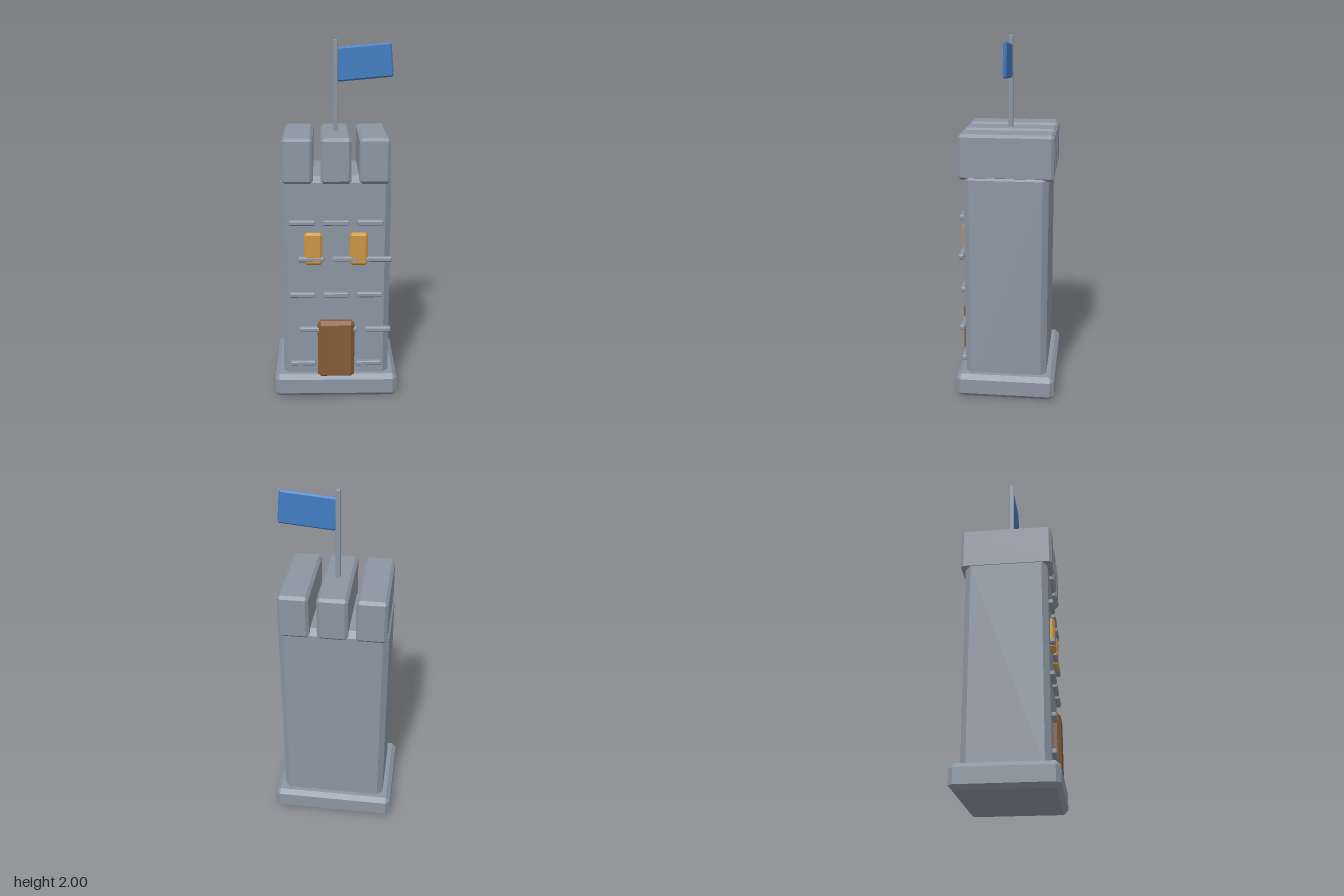
import * as THREE from 'three';
import { ConvexGeometry } from 'three/addons/geometries/ConvexGeometry.js';

const flat = (name, color) => {
  const m = new THREE.MeshStandardMaterial({ color });
  m.name = name;
  return m;
};

// Box with every edge cut flat by c
function chamferBox(w, h, d, c) {
  const x = w / 2, y = h / 2, z = d / 2, points = [];
  for (const i of [-1, 1]) for (const j of [-1, 1]) for (const k of [-1, 1]) {
    points.push(
      new THREE.Vector3(i * x, j * (y - c), k * (z - c)),
      new THREE.Vector3(i * (x - c), j * y, k * (z - c)),
      new THREE.Vector3(i * (x - c), j * (y - c), k * z)
    );
  }
  return new ConvexGeometry(points);
}

export function createModel() {
  const model = new THREE.Group();
  model.name = 'tower';
  const stone = flat('stone', 0x8c96a3);
  const wood = flat('wood', 0x845c38);
  const glow = flat('windowGlow', 0xcc9642);
  const cloth = flat('flagCloth', 0x427dc2);

  // Adds a chamfered block spanning [x0,x1] [y0,y1] [z0,z1]
  function block(name, material, [x0, x1], [y0, y1], [z0, z1], c, parent = model) {
    const mesh = new THREE.Mesh(chamferBox(x1 - x0, y1 - y0, z1 - z0, c), material);
    mesh.position.set((x0 + x1) / 2, (y0 + y1) / 2, (z0 + z1) / 2);
    mesh.name = name;
    parent.add(mesh);
    return mesh;
  }

  // Plinth and shaft
  block('base', stone, [-0.35, 0.35], [0, 0.135], [-0.278, 0.278], 0.025);
  block('shaft', stone, [-0.3, 0.3], [0.08, 1.29], [-0.23, 0.23], 0.032);

  // Battlements: three long blocks running front to back
  const battlements = new THREE.Group();
  battlements.name = 'battlements';
  for (const x of [-0.208, 0, 0.208]) {
    block('merlon', stone, [x - 0.083, x + 0.083], [1.255, 1.503], [-0.257, 0.257], 0.016, battlements);
  }
  model.add(battlements);

  // Raised bricks in staggered rows on the front
  const bricks = new THREE.Group();
  bricks.name = 'bricks';
  for (let row = 0; row < 5; row++) {
    const y = 0.2 + row * 0.2095;
    const shift = row % 2 ? 0.05 : 0;
    for (const x of [-0.187, 0, 0.187]) {
      const cx = x + shift;
      block('brick', stone, [cx - 0.072, cx + 0.072], [y - 0.014, y + 0.014], [0.227, 0.257], 0.006, bricks);
    }
  }
  model.add(bricks);

  // Windows and door
  for (const x of [-0.125, 0.125]) {
    block('window', glow, [x - 0.05, x + 0.05], [0.795, 0.98], [0.205, 0.2555], 0.013);
  }
  block('door', wood, [-0.104, 0.104], [0.115, 0.462], [0.2, 0.27], 0.02);

  // Flagpole and tilted flag
  block('flagpole', stone, [-0.013, 0.013], [1.45, 2], [-0.013, 0.013], 0.003);
  const flag = block('flag', cloth, [0.003, 0.313], [1.785, 1.97], [-0.01, 0.01], 0.009);
  flag.rotation.z = 0.09;

  return model;
}
